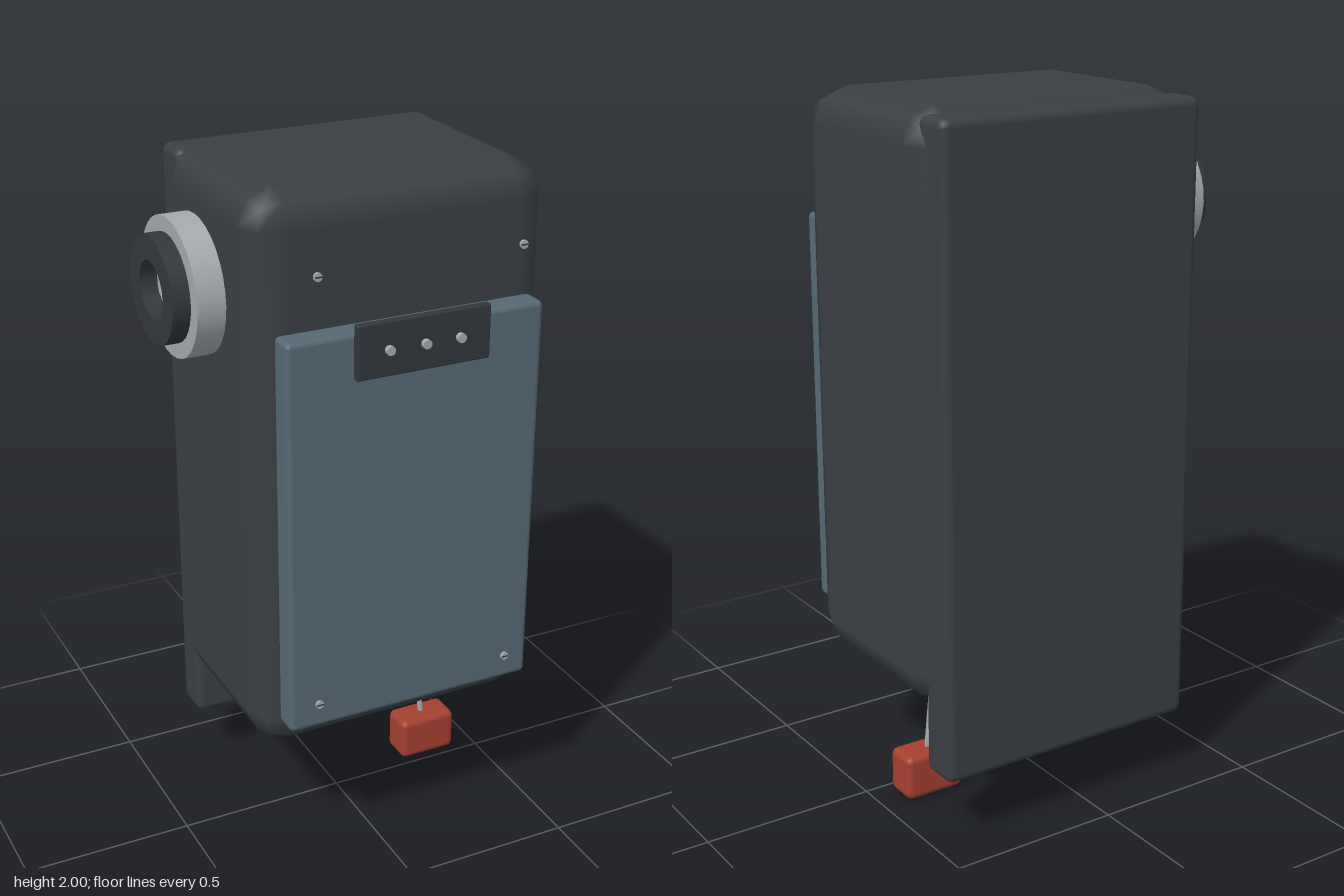
import * as THREE from 'three';
import { RoundedBoxGeometry } from 'three/addons/geometries/RoundedBoxGeometry.js';

const paint = (name, color) => {
  const m = new THREE.MeshStandardMaterial({ color });
  m.name = name;
  return m;
};

export function createModel() {
  const model = new THREE.Group();
  model.name = 'wallBox';

  const charcoal = paint('charcoal', 0x3b4045);
  const blueGrey = paint('blueGrey', 0x556974);
  const black = paint('nearBlack', 0x33373c);
  const steel = paint('steel', 0xa4aaad);
  const red = paint('red', 0xa5402f);

  const add = (name, geometry, material, parent = model) => {
    const mesh = new THREE.Mesh(geometry, material);
    mesh.name = name;
    parent.add(mesh);
    return mesh;
  };

  // Rounded box given by its lower and upper corners
  const block = (name, lo, hi, radius, segments, material) => {
    const size = hi.map((v, i) => v - lo[i]);
    const mesh = add(name, new RoundedBoxGeometry(...size, segments, radius), material);
    mesh.position.set(...hi.map((v, i) => (v + lo[i]) / 2));
    return mesh;
  };

  // Housing, back plate and front cover
  block('housing', [-0.37, 0.38, -0.362], [0.5, 2, 0.284], 0.1, 1, charcoal);
  block('backPlate', [-0.34, 0.19, -0.405], [0.468, 1.98, -0.283], 0.025, 2, charcoal);
  block('frontCover', [-0.313, 0.487, 0.275], [0.442, 1.638, 0.356], 0.016, 2, blueGrey);
  block('indicatorPlate', [-0.13, 1.518, 0.364], [0.26, 1.67, 0.389], 0.006, 1, black);

  // Indicator studs and cover screws, all facing forward
  const stud = (name, x, y, z0, z1, r) => {
    const geometry = new THREE.CylinderGeometry(r, r, z1 - z0, 10).rotateX(Math.PI / 2);
    const mesh = add(name, geometry, steel);
    mesh.position.set(x, y, (z0 + z1) / 2);
  };
  for (const x of [-0.04, 0.065, 0.167]) stud('indicatorStud', x, 1.593, 0.386, 0.403, 0.013);
  for (const x of [-0.232, 0.36]) {
    for (const y of [0.57, 1.81]) {
      stud('coverScrew', x, y, 0.367, 0.375, 0.012);
      const slot = add('screwSlot', new THREE.BoxGeometry(0.02, 0.004, 0.002), black);
      slot.position.set(x, y, 0.375);
    }
  }

  // Side port: two hollow rings whose axis points to -x
  const port = new THREE.Group();
  port.name = 'sidePort';
  port.position.set(-0.36, 1.672, -0.092);
  port.rotation.z = Math.PI / 2;
  model.add(port);
  const ring = (name, inner, outer, h0, h1, material) => {
    const corners = [[inner, h0], [outer, h0], [outer, h1], [inner, h1], [inner, h0]];
    // Doubled corners keep the edges sharp
    const points = corners.flatMap(([r, h], i) =>
      Array.from({ length: i % 4 ? 2 : 1 }, () => new THREE.Vector2(r, h)));
    const mesh = add(name, new THREE.LatheGeometry(points, 32), material, port);
    mesh.scale.z = 1.06;
  };
  ring('portFlange', 0.08, 0.192, -0.01, 0.09, steel);
  ring('portCollar', 0.08, 0.149, 0.088, 0.14, black);

  // Pull cord with its handle
  const cord = new THREE.LineCurve3(
    new THREE.Vector3(0.308, 0.48, -0.086), new THREE.Vector3(0.338, 0.11, -0.074));
  add('pullCord', new THREE.TubeGeometry(cord, 1, 0.009, 8), steel);
  block('pullHandle', [0.246, 0, -0.125], [0.43, 0.133, -0.02], 0.02, 2, red);

  return model;
}
